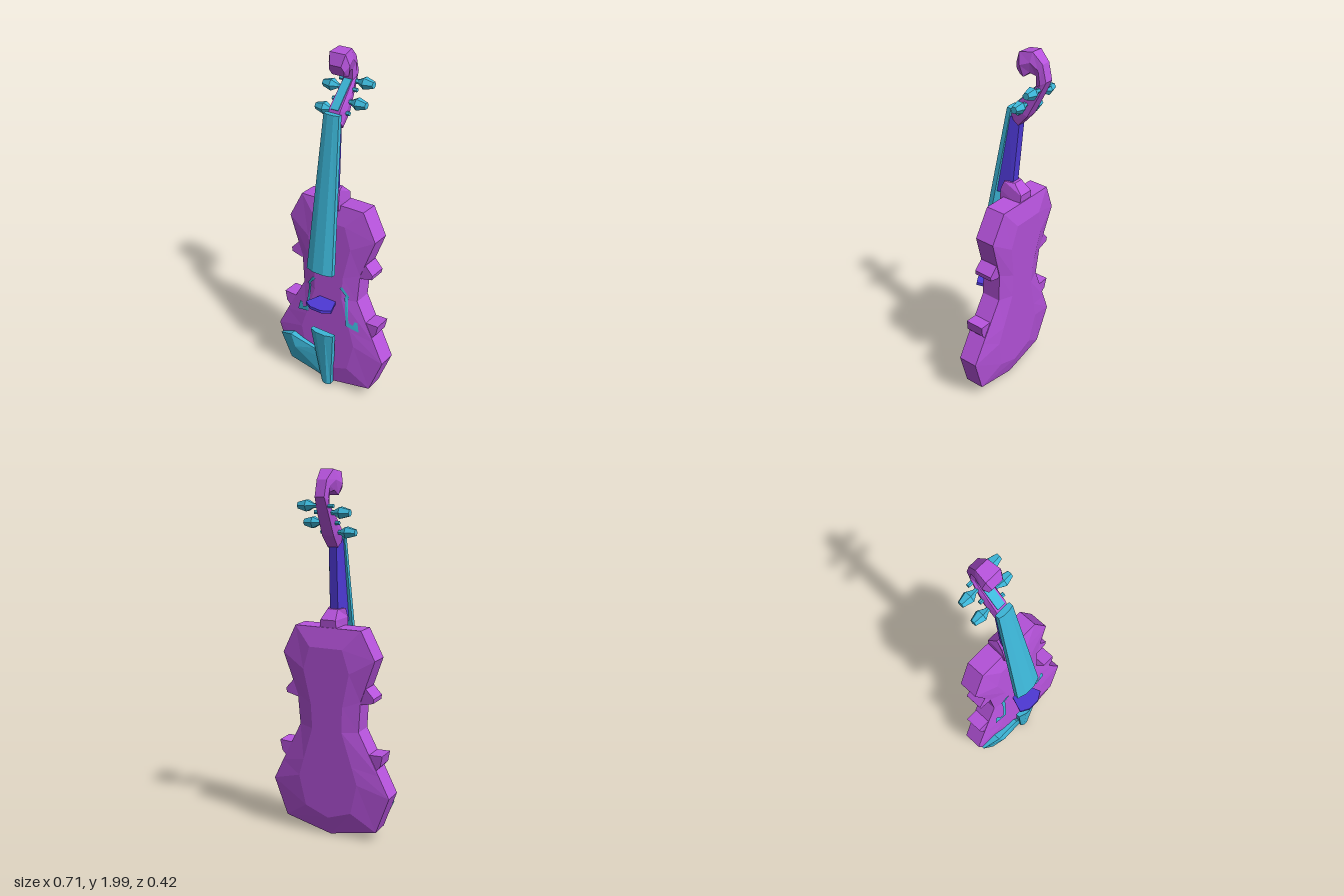
import * as THREE from 'three';
import { ConvexGeometry } from 'three/addons/geometries/ConvexGeometry.js';

const mat = (name, color) => Object.assign(new THREE.MeshStandardMaterial({ color }), { name });

// Faceted skin through a list of equal-length closed rings, capped at both ends
function loft(rings) {
  const tris = [], n = rings[0].length;
  const tri = (a, b, c) => tris.push([a, b, c]);
  for (let k = 0; k < rings.length - 1; k++) {
    for (let i = 0; i < n; i++) {
      const j = (i + 1) % n, p = rings[k], q = rings[k + 1];
      tri(p[i], p[j], q[j]);
      tri(p[i], q[j], q[i]);
    }
  }
  const cap = (r, flip) => {
    for (let i = 0; i < n / 2; i++) {
      for (const t of [[i, i + 1, n - 1 - i], [i, n - 1 - i, (n - i) % n]]) {
        if (new Set(t).size < 3) continue;
        const [a, b, c] = t.map((m) => r[m]);
        if (flip) tri(a, c, b); else tri(a, b, c);
      }
    }
  };
  cap(rings[0], true);
  cap(rings[rings.length - 1], false);
  // Turn the faces outward if the rings ran the other way
  let volume = 0;
  const v = (p) => new THREE.Vector3(...p);
  for (const [a, b, c] of tris) volume += v(a).dot(v(b).cross(v(c)));
  if (volume < 0) tris.forEach((t) => t.reverse());
  const geo = new THREE.BufferGeometry();
  geo.setAttribute('position', new THREE.Float32BufferAttribute(tris.flat(2), 3));
  geo.computeVertexNormals();
  return geo;
}

// Horizontal ring of [x, z] points at height y
const level = (y, pts) => pts.map(([x, z]) => [x, y, z]);
// Board cross-section with a raised middle
const board = (h, under, edge, crest) => [
  [-h, under], [h, under], [h, edge], [0.4 * h, crest], [-0.4 * h, crest], [-h, edge]];
const taper = (front, hf, back, hb) => [[-hb, back], [hb, back], [hf, front], [-hf, front]];

// Right half of the body outline, bottom to top
const outline = [[0.278, 0.07], [0.356, 0.28], [0.296, 0.4], [0.178, 0.63],
  [0.19, 0.8], [0.274, 1.03], [0.195, 1.185]];
const RIM = 0.054, ARCH = 0.024;

function halfWidth(y) {
  for (let i = 1; i < outline.length; i++) {
    const [x0, y0] = outline[i - 1], [x1, y1] = outline[i];
    if (y <= y1) return x0 + (x1 - x0) * (y - y0) / (y1 - y0);
  }
  return outline[outline.length - 1][0];
}
const topHeight = (x, y) => RIM + ARCH * Math.min(1, 2 * (1 - Math.abs(x) / halfWidth(y)));

export function createModel() {
  const purple = mat('purple body', 0xb653dc);
  const cyan = mat('cyan fittings', 0x3db8da);
  const violet = mat('violet neck', 0x4f3ad8);
  const violin = new THREE.Group();
  violin.name = 'violin';
  const add = (name, geo, material) => {
    const mesh = new THREE.Mesh(geo, material);
    mesh.name = name;
    violin.add(mesh);
    return mesh;
  };

  // Body: ribs with arched front and back
  const loop = [[0, 0.008], ...outline, ...outline.map(([x, y]) => [-x, y]).reverse()];
  const ring = (sx, sy, z) => loop.map(([x, y]) => [x * sx, 0.6 + (y - 0.6) * sy, z]);
  add('body', loft([ring(0.5, 0.82, -RIM - 0.028), ring(1, 1, -RIM),
    ring(1, 1, RIM), ring(0.5, 0.82, RIM + ARCH)]), purple);

  // Pointed corners at the waist
  const corners = {
    lowerCorner: [[0.2, 0.5], [0.25, 0.4], [0.27, 0.42], [0.303, 0.455], [0.315, 0.515], [0.24, 0.512]],
    upperCorner: [[0.17, 0.79], [0.2, 0.785], [0.262, 0.8], [0.266, 0.825], [0.22, 0.875], [0.18, 0.86]],
  };
  for (const [name, pts] of Object.entries(corners)) {
    for (const s of [1, -1]) {
      const at = (z) => pts.map(([x, y]) => [s * x, y, z]);
      add(name, loft([at(-RIM + 0.004), at(RIM - 0.002)]), purple);
    }
  }

  // Sound holes laid on the arched front
  const hole = [[0.08, 0.7], [0.098, 0.708], [0.137, 0.655], [0.13, 0.63], [0.143, 0.49],
    [0.17, 0.478], [0.178, 0.505], [0.195, 0.505], [0.207, 0.445], [0.128, 0.465],
    [0.112, 0.645], [0.118, 0.655], [0.098, 0.68]];
  for (const s of [1, -1]) {
    const pts = hole.map(([x, y]) => new THREE.Vector2(s * x, y));
    const geo = new THREE.ShapeGeometry(new THREE.Shape(pts)).toNonIndexed();
    const p = geo.attributes.position;
    for (let i = 0; i < p.count; i++) p.setZ(i, topHeight(p.getX(i), p.getY(i)) + 0.007);
    geo.computeVertexNormals();
    add('soundHole', geo, cyan);
  }

  // Neck, heel and fingerboard
  add('neck', loft([level(1.2, taper(0.102, 0.048, 0.022, 0.024)),
    level(1.64, taper(0.064, 0.042, 0.014, 0.022))]), violet);
  add('heel', loft([level(1.16, taper(0.075, 0.055, -0.05, 0.05)),
    level(1.225, taper(0.075, 0.055, -0.05, 0.045)),
    level(1.275, taper(0.06, 0.05, 0.005, 0.03))]), purple);
  add('fingerboard', loft([level(0.81, board(0.083, 0.138, 0.165, 0.181)),
    level(1.685, board(0.046, 0.056, 0.08, 0.087))]), cyan);

  // Pegbox and scroll: [half width, front z, front y, back z, back y]
  const curl = [[0.04, 0.064, 1.65, 0.016, 1.6], [0.045, 0.05, 1.7, -0.036, 1.665],
    [0.042, 0.002, 1.755, -0.09, 1.79], [0.036, -0.066, 1.83, -0.12, 1.865],
    [0.038, -0.06, 1.885, -0.092, 1.95], [0.05, -0.03, 1.895, -0.035, 2.0],
    [0.062, 0.0, 1.868, 0.035, 1.985], [0.045, 0.028, 1.872, 0.054, 1.925]];
  add('pegboxAndScroll', loft(curl.map(([h, fz, fy, bz, by]) => {
    const mz = (fz + bz) / 2, my = (fy + by) / 2, e = 0.75 * h;
    return [[e, fy, fz], [h, my, mz], [e, by, bz], [-e, by, bz], [-h, my, mz], [-e, fy, fz]];
  })), purple);

  // Pegbox opening as a thin strip along its front
  add('pegboxOpening', loft(curl.slice(1, 4).map(([, z, y]) => [
    [0.023, y - 0.004, z - 0.003], [0.023, y + 0.003, z + 0.004],
    [-0.023, y + 0.003, z + 0.004], [-0.023, y - 0.004, z - 0.003]])), cyan);

  // Tuning pegs, two on each side
  const pegProfile = [[0, -0.062], [0.011, -0.062], [0.013, 0.052], [0.034, 0.088], [0.019, 0.14], [0, 0.14]]
    .map(([r, y]) => new THREE.Vector2(r, y));
  const pegGeo = new THREE.LatheGeometry(pegProfile, 6).toNonIndexed();
  pegGeo.computeVertexNormals();
  for (const [s, y, z] of [[-1, 1.68, 0.006], [1, 1.73, -0.024], [-1, 1.785, -0.058], [1, 1.82, -0.086]]) {
    const peg = add('tuningPeg', pegGeo, cyan);
    peg.position.set(0, y, z);
    peg.rotation.z = -s * Math.PI / 2;
  }

  // Bridge, standing out from the front
  const bridge = [[-0.05, 0.07], [0.05, 0.07], [0.085, 0.168], [0.035, 0.197], [-0.035, 0.197], [-0.085, 0.168]];
  add('bridge', loft([level(0.577, bridge), level(0.594, bridge)]), violet);

  // Tailpiece
  add('tailpiece', loft([level(0.002, board(0.03, 0.045, 0.078, 0.09)),
    level(0.395, board(0.075, 0.11, 0.134, 0.15))]), cyan);

  // Chin rest
  const rest = [[-0.335, 0.22, 0.068], [-0.235, 0.27, 0.108], [-0.075, 0.235, 0.1],
    [-0.045, 0.18, 0.092], [-0.01, 0.03, 0.068], [-0.265, 0.065, 0.06]];
  const restPoints = rest.flatMap(([x, y, z]) => [new THREE.Vector3(x, y, z), new THREE.Vector3(x, y, 0.05)]);
  restPoints.push(new THREE.Vector3(-0.2, 0.2, 0.115));
  add('chinRest', new ConvexGeometry(restPoints), cyan);

  // Turned and leaning pose
  const deg = Math.PI / 180;
  violin.rotation.set(-4.2 * deg, -20 * deg, 1.4 * deg, 'YXZ');
  violin.position.set(-0.002, 0, 0.065);
  const model = new THREE.Group();
  model.name = 'model';
  model.add(violin);
  return model;
}
